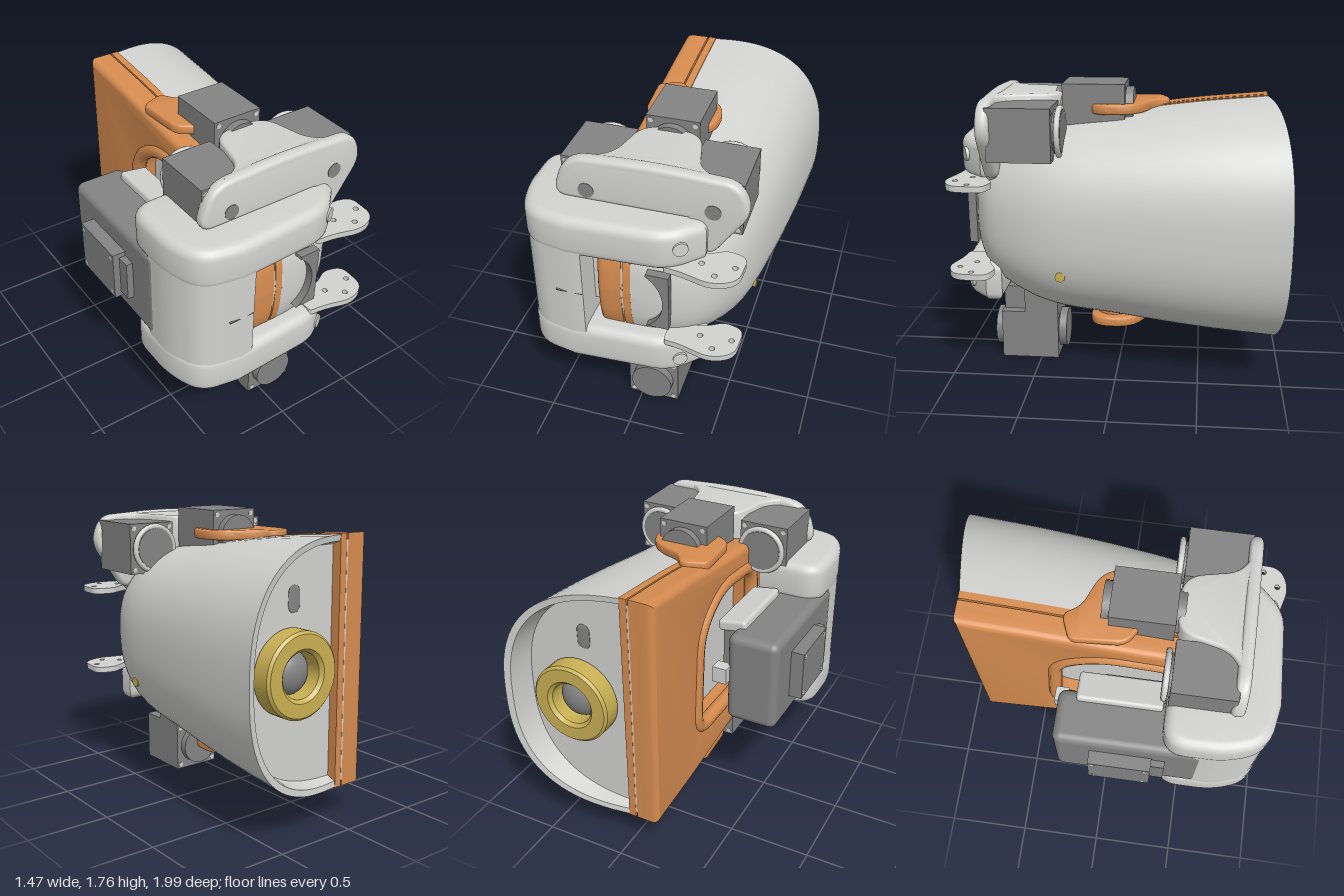
import * as THREE from 'three';
import { toCreasedNormals } from 'three/addons/utils/BufferGeometryUtils.js';
import { RoundedBoxGeometry } from 'three/addons/geometries/RoundedBoxGeometry.js';

const CY = 0.945; // height of the main axis
const mat = (name, color, side = THREE.FrontSide) => {
  const m = new THREE.MeshStandardMaterial({ color, side });
  m.name = name;
  return m;
};

export function createModel() {
  const root = new THREE.Group();
  const light = mat('light grey', 0xd2d2d0, THREE.DoubleSide);
  const dark = mat('dark grey', 0x848484);
  const orange = mat('orange', 0xd68c50);
  const gold = mat('gold', 0xc9b054);

  const add = (name, geo, m, x = 0, y = 0, z = 0, parent = root) => {
    const mesh = new THREE.Mesh(geo, m);
    mesh.name = name;
    mesh.position.set(x, y, z);
    parent.add(mesh);
    return mesh;
  };
  const box = (name, m, x0, x1, y0, y1, z0, z1, r = 0) => add(name,
    r ? new RoundedBoxGeometry(x1 - x0, y1 - y0, z1 - z0, 4, r) : new THREE.BoxGeometry(x1 - x0, y1 - y0, z1 - z0),
    m, (x0 + x1) / 2, (y0 + y1) / 2, (z0 + z1) / 2);
  // disc facing z
  const disc = (name, m, r, x, y, z, depth = 0.008, parent = root) =>
    add(name, new THREE.CylinderGeometry(r, r, depth, 28).rotateX(Math.PI / 2), m, x, y, z, parent);
  // polygon with corners [x, y, radius] rounded off
  const rounded = (pts) => {
    const s = new THREE.Shape();
    pts.forEach(([x, y, radius = 0], i) => {
      const p = new THREE.Vector2(x, y);
      const edges = [pts.at(i - 1), pts[(i + 1) % pts.length]].map(([a, b]) => new THREE.Vector2(a - x, b - y));
      const r = Math.min(radius, ...edges.map((e) => e.length() * 0.48));
      const [a, b] = edges.map((e) => e.setLength(r).add(p));
      if (i) s.lineTo(a.x, a.y); else s.moveTo(a.x, a.y);
      if (r) s.quadraticCurveTo(x, y, b.x, b.y);
    });
    s.closePath();
    return s;
  };
  const extrude = (shape, depth, bevel) => toCreasedNormals(new THREE.ExtrudeGeometry(shape, {
    depth: depth - 2 * bevel, bevelEnabled: bevel > 0, bevelThickness: bevel, bevelSize: bevel,
    bevelOffset: -bevel, bevelSegments: 5, curveSegments: 10,
  }).translate(0, 0, bevel), 0.6);
  // plan outline (x, z) raised from y0 to y1
  const raise = (name, m, shape, y0, y1, bevel = 0) =>
    add(name, extrude(shape, y1 - y0, bevel).rotateX(Math.PI / 2), m, 0, y1);
  // side outline (-z, y) running from x0 to x1
  const across = (name, m, shape, x0, x1, bevel = 0) =>
    add(name, extrude(shape, x1 - x0, bevel).rotateY(Math.PI / 2), m, x0);

  // Main shell: half-oval sections (width, half height, z) from back to front
  const profile = new THREE.CatmullRomCurve3([
    [0.73, 0.725, -0.88], [0.705, 0.685, -0.45], [0.66, 0.625, 0], [0.595, 0.575, 0.4],
    [0.52, 0.5, 0.6], [0.42, 0.4, 0.76], [0.31, 0.3, 0.84], [0.18, 0.18, 0.885], [0.002, 0.002, 0.9],
  ].map((p) => new THREE.Vector3(...p)));
  const oval = (a, w, h) => [w * Math.cos(a) ** 0.8, Math.sign(a) * h * Math.abs(Math.sin(a)) ** 0.8];
  const rows = [[0.67, 0.67, -0.82, 0], [0.69, 0.69, -0.875, 0.165]];
  profile.getPoints(40).forEach((p) =>
    rows.push([p.x, p.y, p.z, 0.165 * THREE.MathUtils.clamp((0.2 - p.z) / 1.08, 0, 1)]));
  const N = 40, pos = [], idx = [];
  rows.forEach(([w, h, z, slant], r) => {
    for (let i = 0; i <= N; i++) {
      const [x, y] = oval((i / N - 0.5) * Math.PI * 0.9999, w, h);
      pos.push(x, CY + y, z - slant * x);
      if (r && i < N) {
        const b = r * (N + 1) + i, a = b - N - 1;
        idx.push(a, a + 1, b, a + 1, b + 1, b);
      }
    }
  });
  const shell = new THREE.BufferGeometry();
  shell.setAttribute('position', new THREE.Float32BufferAttribute(pos, 3));
  shell.setIndex(idx.reverse());
  add('mainShell', toCreasedNormals(shell, 0.7), light);

  // Recessed end cap with gold ring and grey lens
  const cap = new THREE.Shape();
  for (let i = 0; i <= N; i++) cap.lineTo(...oval((i / N - 0.5) * Math.PI, 0.67, 0.67));
  add('endCap', new THREE.ShapeGeometry(cap), light, 0, CY, -0.82);
  const ring = [[0.13, 0], [0.23, 0], [0.245, 0.015], [0.245, 0.12], [0.23, 0.135], [0.15, 0.135], [0.13, 0.115], [0.13, 0]];
  add('endRing', toCreasedNormals(new THREE.LatheGeometry(ring.map((p) => new THREE.Vector2(...p)), 40), 0.5)
    .rotateX(-Math.PI / 2), gold, 0.32, CY, -0.815);
  add('lens', new THREE.SphereGeometry(0.128, 28, 16).scale(1, 1, 0.7), dark, 0.32, CY, -0.82);
  const slot = new THREE.CapsuleGeometry(0.042, 0.07, 6, 16).scale(1, 1, 0.1);
  add('capSlot', slot, dark, 0.28, 1.34, -0.821);

  // Orange side frame: follows the shell outline, with a window
  const sideOutline = (grow) => {
    const pts = profile.getPoints(40).map((p) => [-p.z, p.y + grow]);
    return new THREE.Shape([...pts.map(([u, h]) => new THREE.Vector2(u, CY - h)).reverse(),
      ...pts.map(([u, h]) => new THREE.Vector2(u, CY + h))]);
  };
  const windowPts = [[-0.4, 0.55, 0.15], [0.38, 0.55, 0.15], [0.34, 1.24, 0.15], [0.08, 1.42, 0.15], [-0.4, 1.38, 0.15]];
  const frame = sideOutline(0.005);
  frame.holes.push(rounded(windowPts));
  across('sideFrame', orange, frame, -0.2, -0.06, 0.04);
  across('frameBack', orange, frame, -0.12, -0.055);
  across('frameLip', orange, sideOutline(0.005), -0.045, 0);
  across('innerWall', light, sideOutline(-0.03), -0.056, -0.046);
  const rim = new THREE.CatmullRomCurve3(rounded(windowPts).getSpacedPoints(48).slice(0, -1)
    .map((p) => new THREE.Vector3(-0.18, p.y, -p.x)), true);
  add('windowRim', new THREE.TubeGeometry(rim, 80, 0.045, 10, true), orange);

  // Pivot lugs above and below
  for (const s of [1, -1]) {
    const lug = rounded([[-0.19, -0.24, 0.04], [-0.04, -0.3, 0.05], [0.02, -0.2, 0.08], [0.27, -0.1, 0.13],
      [0.27, 0.19, 0.14], [-0.02, 0.17, 0.1], [-0.17, 0.08, 0.06]]);
    const y = CY + s * 0.67;
    raise('pivotLug', orange, lug, y - 0.03, y + 0.03, 0.015);
    add('pivotBoss', new THREE.CylinderGeometry(0.11, 0.11, 0.1, 28), orange, 0.1, y - s * 0.02, 0.04);
  }

  // Crosswise gold rod and its end block
  add('crossRod', new THREE.CylinderGeometry(0.03, 0.03, 0.84, 12).rotateZ(Math.PI / 2), gold, 0.175, 0.69, 0.31);
  box('rodBlock', gold, -0.25, -0.2, 0.68, 0.77, 0.27, 0.62);

  // Side motor with flange
  box('sideMotor', dark, -0.66, -0.34, 0.66, 1.24, -0.29, 0.6, 0.05);
  box('motorNeck', dark, -0.36, -0.2, 0.78, 1.17, -0.03, 0.33);
  box('motorFront', light, -0.34, -0.18, 0.78, 1.18, 0.34, 0.8);
  box('motorFlange', dark, -0.74, -0.65, 0.79, 1.1, -0.07, 0.3);
  box('flangeStep', dark, -0.7, -0.65, 0.82, 1.07, 0.29, 0.38);
  for (const y of [0.82, 1.07]) for (const z of [-0.04, 0.27])
    add('flangeScrew', new THREE.CylinderGeometry(0.014, 0.014, 0.006, 12).rotateZ(Math.PI / 2), light, -0.738, y, z);
  box('motorCover', light, -0.41, -0.23, 1.2, 1.27, -0.18, 0.33, 0.02).rotation.z = -0.15;
  box('motorClip', light, -0.36, -0.27, 0.93, 1.03, -0.33, -0.25);

  // Front C-shaped bracket
  const bar = rounded([[-0.655, 0.54], [-0.25, 0.54], [-0.25, 0.975], [-0.33, 0.98], [-0.57, 0.935, 0.12], [-0.655, 0.72, 0.12]]);
  raise('bracketBar', light, bar, 0.5, 1.39);
  const arm = rounded([[-0.66, 0.34, 0.15], [-0.26, 0.34], [-0.22, 0.7], [0.4, 0.7],
    [0.4, 0.8], [0.24, 0.96, 0.11], [-0.33, 0.985], [-0.575, 0.94, 0.12], [-0.66, 0.72, 0.12]]);
  const ear = rounded([[0.2, 0.78, 0.02], [0.38, 0.78, 0.08], [0.5, 0.71, 0.04], [0.62, 0.74, 0.1],
    [0.61, 0.94, 0.1], [0.48, 1.0, 0.1], [0.3, 0.95, 0.1], [0.2, 0.94, 0.02]]);
  for (const [x, z] of [[0.39, 0.85], [0.57, 0.84], [0.48, 0.93]])
    ear.holes.push(new THREE.Path().absarc(x, z, 0.016, 0, Math.PI * 2, true));
  for (const s of [1, -1]) {
    const y = CY + s * 0.38;
    raise('bracketArm', light, arm, y - 0.125, y + 0.125, 0.06);
    raise('bracketEar', light, ear, CY + s * 0.265 - 0.018, CY + s * 0.265 + 0.018);
    disc('armScrew', light, 0.042, 0.29, CY + s * 0.4, 0.91, 0.02).rotation.y = 0.5;
    disc('armScrew', light, 0.035, -0.53, CY + s * 0.455, 0.89, 0.03).rotation.set(-s * 0.8, -0.4, 0);
  }
  box('bracketSeam', dark, -0.41, -0.255, 0.942, 0.948, 0.9, 0.978);

  // Curved grey stop plate at the front
  const stop = new THREE.Shape().moveTo(0.23, 0.77).lineTo(0.23, 1.14).lineTo(0.1, 1.14);
  stop.absarc(-0.02, CY, 0.215, 1.0, -1.0, true);
  stop.lineTo(0.1, 0.77);
  add('stopPlate', extrude(stop, 0.05, 0), dark, 0, 0, 0.88);

  // Servos: box with round hubs and corner screws on the z faces
  const servo = (name, x, y, z0, z1, hubFront, hubBack) => {
    const g = new THREE.Group();
    g.name = name;
    g.position.set(x, y, 0);
    root.add(g);
    add('case', new THREE.BoxGeometry(0.31, 0.31, z1 - z0), dark, 0, 0, (z0 + z1) / 2, g);
    for (const [end, dir, on] of [[z1, 1, hubFront], [z0, -1, hubBack]]) {
      if (on) disc('hub', dark, 0.125, 0, 0, end + dir * 0.022, 0.05, g);
      for (let i = 0; i < 4; i++) {
        const sx = i % 2 ? 1 : -1, sy = i < 2 ? 1 : -1;
        disc('screw', light, 0.015, sx * 0.128, sy * 0.128, end, 0.006, g);
      }
    }
  };
  servo('bottomServo', 0.075, 0.155, 0.39, 0.75, true, true);
  box('bottomServoNeck', dark, -0.08, 0.23, 0.3, 0.46, 0.39, 0.6);
  box('bottomServoStep', dark, -0.02, 0.17, 0.3, 0.46, 0.59, 0.74);
  servo('topServo', 0.075, 1.605, -0.035, 0.335, true, true);
  servo('upperRightServo', -0.275, 1.515, 0.35, 0.72, false, true);
  servo('upperLeftServo', 0.42, 1.515, 0.35, 0.72, false, true);
  for (const x of [-0.275, 0.42])
    add('hubCollar', new THREE.TorusGeometry(0.135, 0.018, 8, 32), light, x, 1.515, 0.32);

  // Upper bracket: front plate and bell-shaped lid
  const plate = rounded([[-0.48, 1.44, 0.1], [0.28, 1.44], [0.3, 1.24], [0.42, 1.22, 0.06],
    [0.63, 1.53, 0.13], [0.56, 1.7, 0.13], [0.07, 1.725, 0.2], [-0.4, 1.7, 0.15]]);
  add('upperPlate', extrude(plate, 0.08, 0.03), light, 0, 0, 0.695);
  const lid = rounded([[-0.32, 0.74], [-0.16, 0.66, 0.1], [-0.09, 0.34, 0.12], [0.25, 0.34, 0.12],
    [0.32, 0.66, 0.1], [0.47, 0.74]]);
  raise('upperLid', light, lid, 1.45, 1.705, 0.02);
  for (const x of [-0.275, 0.425]) disc('plateHole', dark, 0.045, x, 1.51, 0.774);
  return root;
}
